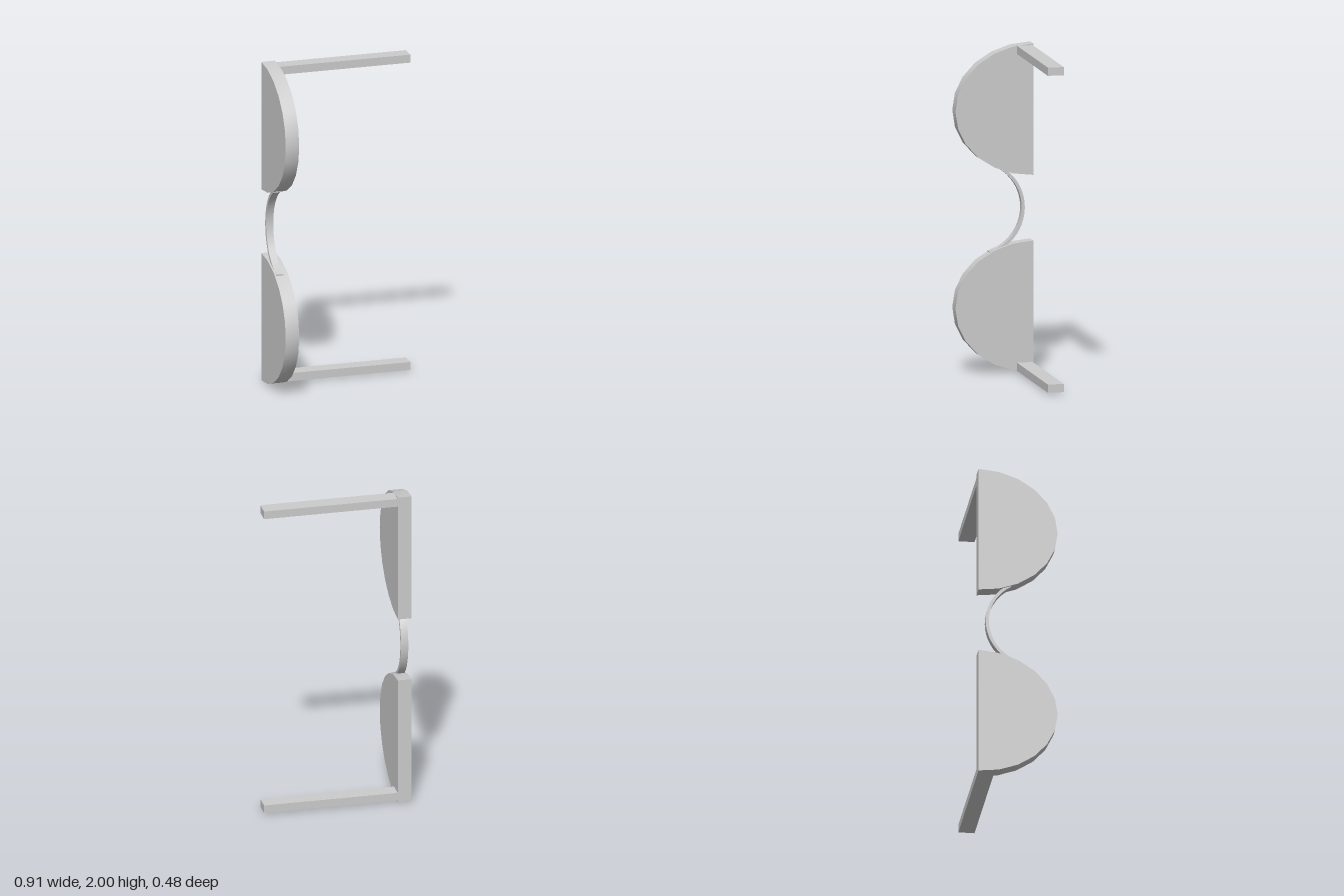
import * as THREE from 'three';
import { toCreasedNormals } from 'three/addons/utils/BufferGeometryUtils.js';

const material = new THREE.MeshStandardMaterial({ color: 0xcccccc });

// Extrudes a (z, y) outline between x = right and x = right - depth.
function slab(name, points, right, depth) {
  const extruded = new THREE.ExtrudeGeometry(new THREE.Shape(points), { depth, bevelEnabled: false });
  extruded.rotateY(-Math.PI / 2).translate(right, 0, 0);
  const mesh = new THREE.Mesh(toCreasedNormals(extruded, 0.6), material);
  mesh.name = name;
  return mesh;
}

// Half-ellipse lens with its flat edge at the back.
function lensOutline(centerY) {
  const points = [];
  for (let i = 0; i <= 12; i++) {
    const a = -Math.PI / 2 + (i / 12) * Math.PI;
    points.push(new THREE.Vector2(-0.24 + 0.48 * Math.cos(a), centerY + 0.4 * Math.sin(a)));
  }
  return points;
}

// Thin curved band bowing backwards; the lower end runs further into its lens.
function bridgeOutline() {
  const start = -1.31, end = 1.05, steps = 20;
  const at = (r, i) => {
    const a = start + ((end - start) * i) / steps;
    return new THREE.Vector2(0.095 - r * Math.cos(a), 1 + r * Math.sin(a));
  };
  const points = [];
  for (let i = 0; i <= steps; i++) points.push(at(0.29, i));
  for (let i = steps; i >= 0; i--) points.push(at(0.271, i));
  return points;
}

export function createModel() {
  const group = new THREE.Group();
  group.name = 'glasses';

  for (const [side, s] of [['upper', 1], ['lower', -1]]) {
    group.add(slab(side + 'Lens', lensOutline(1 + s * 0.6), -0.37, 0.085));

    // Straight temple arm
    const arm = new THREE.Mesh(new THREE.BoxGeometry(0.84, 0.05, 0.098), material);
    arm.name = side + 'Arm';
    arm.position.set(0.035, 1 + s * 0.965, -0.188);
    group.add(arm);
  }

  group.add(slab('bridge', bridgeOutline(), -0.4, 0.045));
  return group;
}
